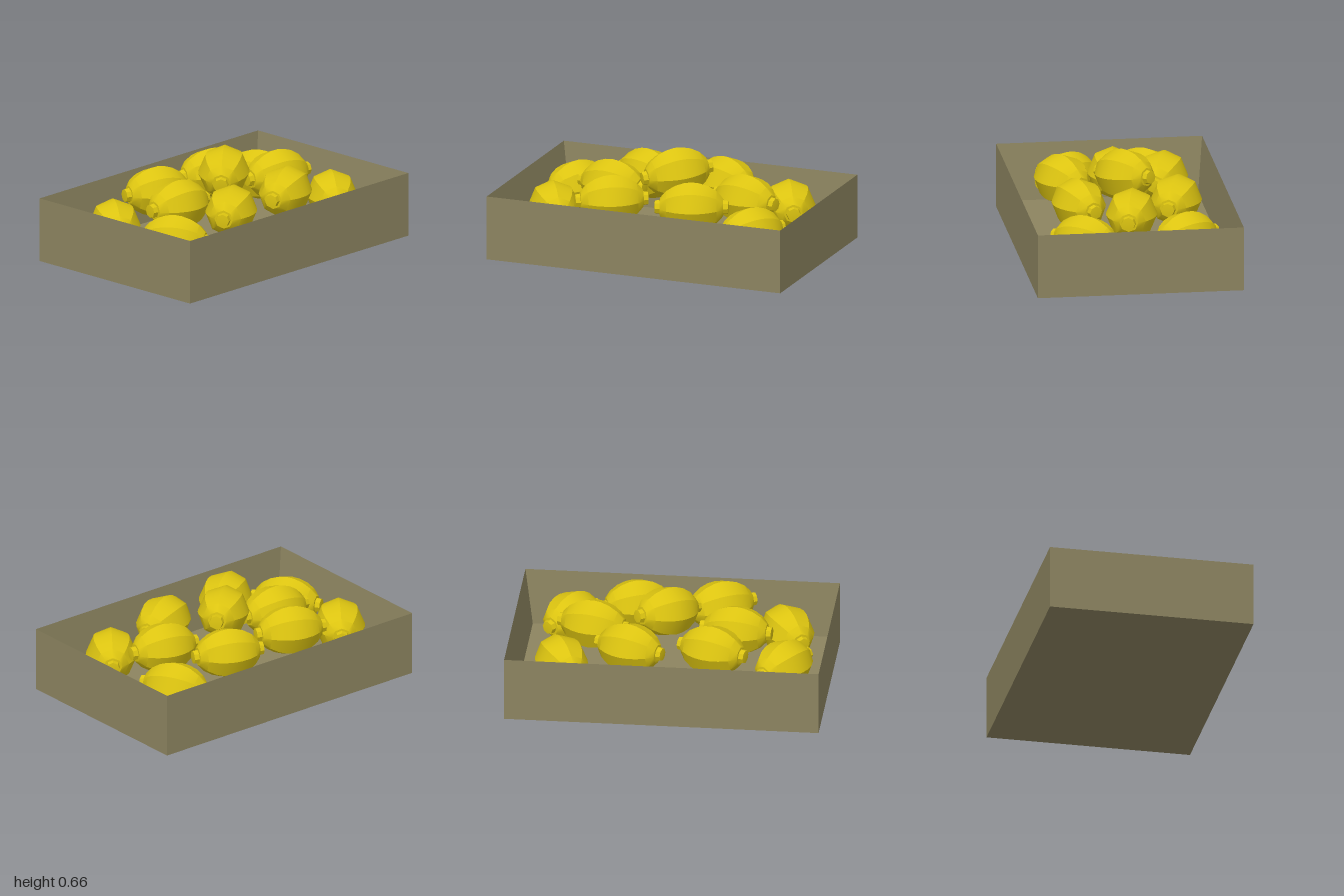
import * as THREE from 'three';
import { toCreasedNormals } from 'three/addons/utils/BufferGeometryUtils.js';

const wood = new THREE.MeshStandardMaterial({ color: 0x8c8460 });
wood.name = 'drab wood';
const yellow = new THREE.MeshStandardMaterial({ color: 0xdcc410 });
yellow.name = 'melon yellow';

// Rectangular ring of corners, counter-clockwise from above
const ring = (x, y, z) => [[-x, y, z], [x, y, z], [x, y, -z], [-x, y, -z]];

// Open tray: outer walls, knife-edge rim, sloping inner walls and floor
function crateGeometry() {
  const rings = [ring(1, 0, 0.657), ring(1, 0.415, 0.657), ring(0.95, 0.05, 0.625)];
  const pos = [];
  const quad = (a, b, c, d) => pos.push(...a, ...b, ...c, ...a, ...c, ...d);
  for (let r = 0; r < 2; r++) {
    for (let i = 0; i < 4; i++) {
      const j = (i + 1) % 4;
      quad(rings[r][i], rings[r][j], rings[r + 1][j], rings[r + 1][i]);
    }
  }
  quad(...rings[2]);
  quad(...[...rings[0]].reverse());
  const geo = new THREE.BufferGeometry();
  geo.setAttribute('position', new THREE.Float32BufferAttribute(pos, 3));
  geo.computeVertexNormals();
  return geo;
}

// Eight-sided turned shape lying along x, with a ridge on top
function turned(points) {
  const geo = new THREE.LatheGeometry(points.map(([r, y]) => new THREE.Vector2(r, y)), 8);
  geo.rotateZ(Math.PI / 2);
  return toCreasedNormals(geo, 0.62);
}

export function createModel() {
  const model = new THREE.Group();
  model.name = 'crateOfMelons';

  const crate = new THREE.Mesh(crateGeometry(), wood);
  crate.name = 'crate';
  model.add(crate);

  const half = [[0.163, 0], [0.157, 0.05], [0.139, 0.105], [0.105, 0.16], [0.06, 0.2], [0, 0.205]];
  const bodyGeo = turned([...half.slice(1).reverse().map(([r, y]) => [r, -y]), ...half]);
  const capGeo = turned([[0.048, 0.19], [0.042, 0.232], [0, 0.236]]);

  // Both ends of each melon (x, z), its centre height and tilt
  const melons = [
    [-0.864, -0.072, -0.612, -0.43, 0.27, 0],
    [-0.495, -0.382, -0.083, -0.233, 0.38, 0],
    [0.03, -0.404, 0.441, -0.249, 0.38, 0],
    [0.564, -0.527, 0.773, -0.142, 0.27, 0],
    [-0.628, -0.035, -0.19, 0.019, 0.38, 0],
    [-0.147, 0.115, 0.195, -0.163, 0.5, 0.1],
    [0.286, -0.056, 0.709, 0.04, 0.38, 0],
    [-0.826, 0.056, -0.591, 0.43, 0.27, 0],
    [-0.473, 0.441, -0.088, 0.222, 0.385, 0],
    [0.051, 0.372, 0.452, 0.222, 0.385, 0],
    [0.532, 0.489, 0.799, 0.131, 0.27, 0],
  ];
  melons.forEach(([x1, z1, x2, z2, y, tilt], i) => {
    const melon = new THREE.Group();
    melon.name = `melon${i + 1}`;
    const body = new THREE.Mesh(bodyGeo, yellow);
    body.name = 'melonBody';
    melon.add(body);
    for (const turn of [0, Math.PI]) {
      const cap = new THREE.Mesh(capGeo, yellow);
      cap.name = turn ? 'stemEnd' : 'blossomEnd';
      cap.rotation.y = turn;
      melon.add(cap);
    }
    melon.position.set((x1 + x2) / 2, y, (z1 + z2) / 2);
    melon.rotation.set(0, Math.atan2(z1 - z2, x2 - x1), tilt);
    model.add(melon);
  });

  return model;
}
